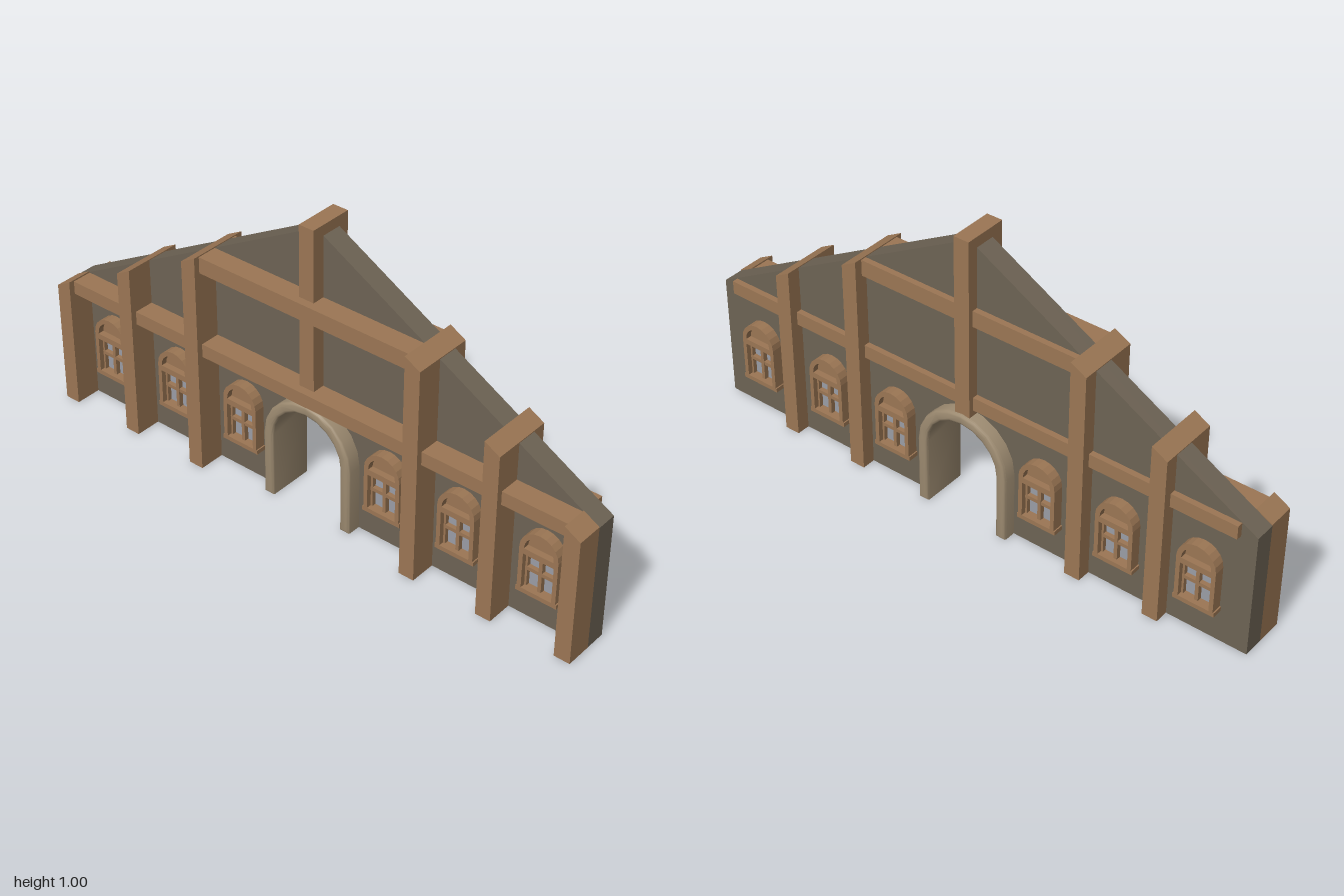
import * as THREE from 'three';
import { toCreasedNormals } from 'three/addons/utils/BufferGeometryUtils.js';

const material = (name, color) => Object.assign(new THREE.MeshStandardMaterial({ color }), { name });

// Thickness of the wall along x
const WALL_BACK = -0.015, WALL_FRONT = 0.055;
// Height of the gable slope at a distance from the centre
const roofAt = (z) => 0.985 - 0.555 * Math.abs(z);

function polygon(points) {
  return new THREE.Shape(points.map(([u, y]) => new THREE.Vector2(u, y)));
}

// Round-headed outline standing on y0
function archPoints(r, y0, spring, n = 10) {
  const pts = [[r, y0]];
  for (let i = 0; i <= n; i++) {
    const a = (Math.PI * i) / n;
    pts.push([r * Math.cos(a), spring + r * Math.sin(a)]);
  }
  pts.push([-r, y0]);
  return pts;
}

export function createModel() {
  const wood = material('timber', 0x9b7654);
  const plaster = material('wallPlaster', 0x6d6354);
  const stone = material('archStone', 0x9c8a70);
  const glass = material('windowGlass', 0x9a9da6);
  const model = new THREE.Group();
  model.name = 'timberGableWall';

  // Shape drawn in the plane of the wall and extruded from x0 to x1
  function prism(name, shape, x0, x1, mat, parent = model, bevel = 0) {
    let geo = new THREE.ExtrudeGeometry(shape, {
      depth: x1 - x0 - 2 * bevel, bevelEnabled: bevel > 0, bevelSize: bevel,
      bevelThickness: bevel, bevelOffset: -bevel, bevelSegments: 3,
    });
    geo.translate(0, 0, x0 + bevel);
    geo.rotateY(Math.PI / 2);
    if (bevel) geo = toCreasedNormals(geo, 0.7);
    const mesh = new THREE.Mesh(geo, mat);
    mesh.name = name;
    parent.add(mesh);
    return mesh;
  }

  // Box given by its limits
  function box(name, x0, x1, y0, y1, z0, z1, mat = wood, parent = model) {
    const mesh = new THREE.Mesh(new THREE.BoxGeometry(x1 - x0, y1 - y0, z1 - z0), mat);
    mesh.position.set((x0 + x1) / 2, (y0 + y1) / 2, (z0 + z1) / 2);
    mesh.name = name;
    parent.add(mesh);
  }

  // Gable wall with the doorway cut out of its foot
  prism('gableWall', polygon([
    [-1, 0], ...archPoints(0.15, 0, 0.228).reverse(), [1, 0], [1, 0.43], [0, 0.985], [-1, 0.43],
  ]), WALL_BACK, WALL_FRONT, plaster);

  // Stone arch lining the doorway
  prism('doorArch', polygon([
    ...archPoints(0.168, 0, 0.228), ...archPoints(0.132, 0, 0.228).reverse(),
  ]), -0.066, 0.102, stone, model, 0.01);

  // Posts with tops cut to the slope
  function post(name, z0, z1, x0, x1) {
    const lift = 0.003;
    prism(name, polygon([
      [-z1, 0], [-z0, 0], [-z0, roofAt(z0) + lift], [-z1, roofAt(z1) + lift],
    ]), x0, x1, wood);
  }
  for (const side of [1, -1]) {
    const span = (a, b) => (side > 0 ? [a, b] : [-b, -a]);
    post('innerPost', ...span(0.393, 0.447), -0.105, 0.102);
    post('outerPost', ...span(0.672, 0.725), -0.105, 0.102);
    post('cornerPost', ...span(0.946, 1), -0.105, WALL_BACK);
  }
  box('kingPost', -0.058, 0.092, 0.39, 1.005, -0.027, 0.027);

  // Horizontal beams on both faces
  box('lowerBeamFront', WALL_FRONT, 0.075, 0.412, 0.458, -0.946, 0.946);
  box('lowerBeamBack', -0.085, WALL_BACK, 0.412, 0.458, -0.946, 0.946);
  box('upperBeamFront', WALL_FRONT, 0.075, 0.711, 0.766, -0.4, 0.4);
  box('upperBeamBack', -0.085, WALL_BACK, 0.711, 0.766, -0.4, 0.4);

  // One window, built outward from x = 0
  function makeWindow() {
    const w = new THREE.Group();
    w.name = 'window';
    const frame = polygon(archPoints(0.066, 0.115, 0.272));
    frame.holes.push(polygon([[-0.052, 0.127], [0.052, 0.127], [0.052, 0.25], [-0.052, 0.25]]));
    frame.holes.push(polygon(archPoints(0.05, 0.27, 0.272).reverse()));
    prism('windowFrame', frame, 0, 0.037, wood, w);
    prism('archPanel', polygon(archPoints(0.051, 0.269, 0.272)), 0, 0.016, wood, w);
    box('windowSill', 0, 0.037, 0.112, 0.127, -0.07, 0.07, wood, w);
    box('glassPane', 0, 0.006, 0.125, 0.252, -0.054, 0.054, glass, w);
    box('mullion', 0, 0.022, 0.125, 0.252, -0.006, 0.006, wood, w);
    box('glazingBar', 0, 0.021, 0.185, 0.197, -0.054, 0.054, wood, w);
    for (const s of [-1, 1]) box('sashStile', 0, 0.02, 0.125, 0.252, s * 0.049 - 0.004, s * 0.049 + 0.004, wood, w);
    return w;
  }
  for (const z of [0.838, 0.55, 0.28, -0.277, -0.554, -0.834]) {
    const front = makeWindow();
    front.position.set(WALL_FRONT, 0, z);
    const back = makeWindow();
    back.rotation.y = Math.PI;
    back.position.set(WALL_BACK, 0, z);
    model.add(front, back);
  }
  return model;
}
